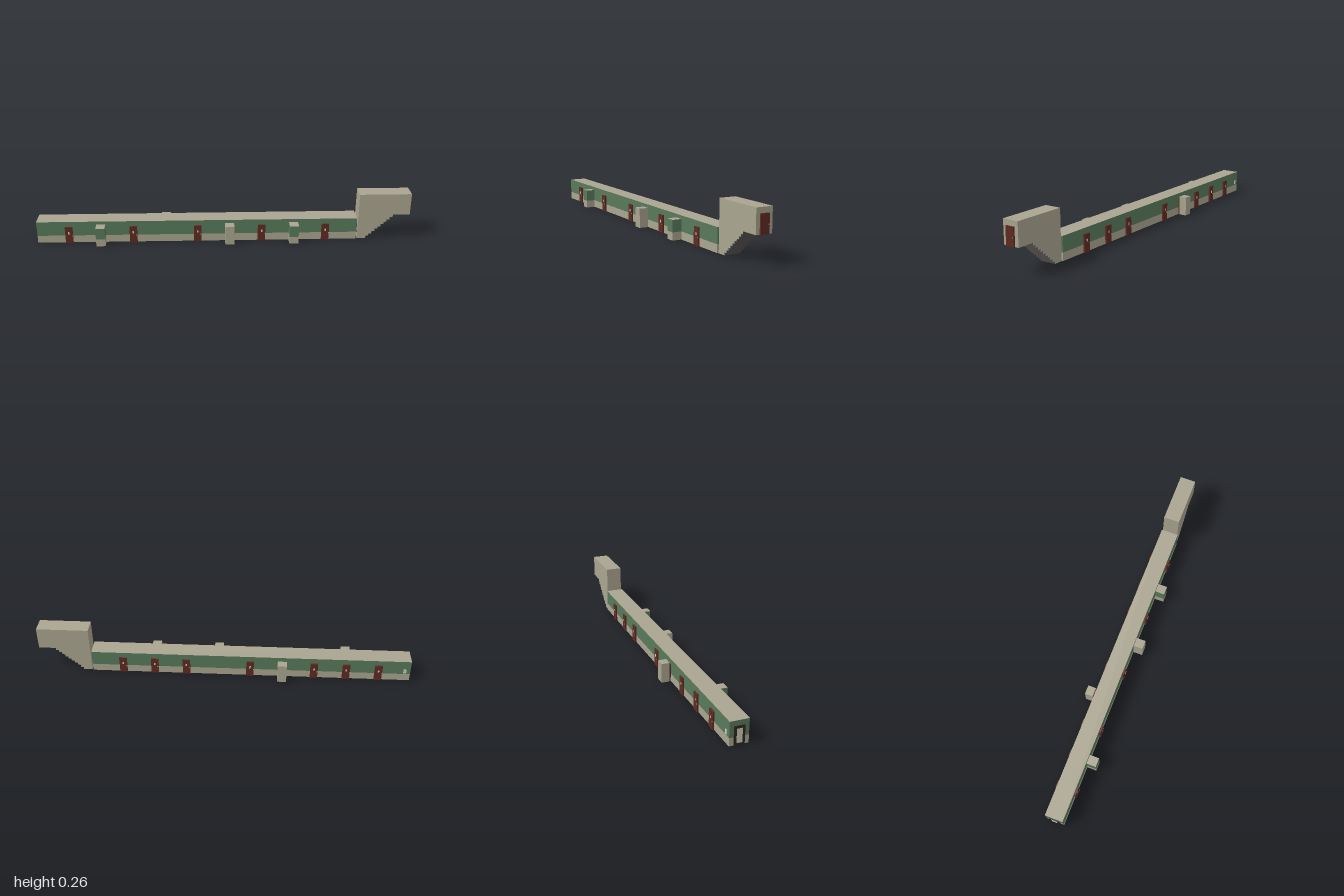
import * as THREE from 'three';

const mat = (name, color) => Object.assign(new THREE.MeshStandardMaterial({ color }), { name });

export function createModel() {
  const green = mat('wall green', 0x587a5c);
  const beige = mat('plaster beige', 0xaaa590);
  const brown = mat('door brown', 0x5f2a22);
  const gray = mat('stair gray', 0x4e4a49);
  const dark = mat('frame dark', 0x2b2523);
  const pale = mat('plate pale', 0xcfc9b6);

  const model = new THREE.Group();
  model.name = 'corridorWithStairs';

  // Box given by its lower and upper corners
  const box = (parent, name, material, x0, x1, y0, y1, z0, z1) => {
    const mesh = new THREE.Mesh(new THREE.BoxGeometry(x1 - x0, y1 - y0, z1 - z0), material);
    mesh.position.set((x0 + x1) / 2, (y0 + y1) / 2, (z0 + z1) / 2);
    mesh.name = name;
    parent.add(mesh);
    return mesh;
  };
  // Face order: +x, -x, +y, -y, +z, -z
  const sides = (side, top, bottom) => [side, side, top, bottom, side, side];

  const W = 0.0475, DADO = 0.041;

  // Two-tone block: beige lower band, green upper band, beige roof
  const twoTone = (name, x0, x1, h, z0, z1) => {
    const group = new THREE.Group();
    group.name = name;
    box(group, 'lowerWall', sides(beige, beige, green), x0, x1, 0, DADO, z0, z1);
    box(group, 'upperWall', sides(green, beige, green), x0, x1, DADO, h, z0, z1);
    model.add(group);
  };
  twoTone('corridor', -0.995, 0.709, 0.121, -W, W);

  // Door leaf facing +z with number plate and handle, then turned and placed
  const addDoor = (name, x, y, z, turn, width, depth, plate) => {
    const door = new THREE.Group();
    door.name = name;
    box(door, 'leaf', brown, -width / 2, width / 2, 0, 0.092, 0, depth);
    if (plate) box(door, 'numberPlate', pale, -0.004, 0.004, 0.052, 0.066, depth, depth + 0.0007);
    box(door, 'handle', pale, width * 0.38, width * 0.38 + 0.003, 0.041, 0.045, depth, depth + 0.002);
    door.position.set(x, y, z);
    door.rotation.y = turn;
    model.add(door);
  };

  // Nine bays along the corridor: doors, with annexes in a few bays
  const annexes = { 1: 'painted', 5: 'plain', 7: 'painted' };
  for (let i = 0; i < 9; i++) {
    const x = -0.826 + i * 0.1707;
    if (!annexes[i]) {
      if (i % 2 === 0) addDoor('frontDoor', x, 0, W, 0, 0.04, 0.008, true);
    } else if (annexes[i] === 'painted') {
      twoTone('paintedAnnex', x - 0.024, x + 0.024, 0.103, W, 0.098);
    } else {
      box(model, 'plainAnnex', sides(beige, beige, green), x - 0.024, x + 0.024, 0, 0.103, W, 0.098);
    }
    if (i !== 5) addDoor('backDoor', x, 0, -W, Math.PI, 0.04, 0.008, i !== 3);
    if (i === 3) box(model, 'backAnnex', sides(beige, beige, green), x - 0.024, x + 0.024, 0, 0.103, -0.098, -0.0555);
  }

  // Small wall plate near the far end of the back wall
  box(model, 'wallPlate', pale, -0.974, -0.958, 0.048, 0.07, -W - 0.003, -W);

  // End door: dark frame around a pale panel
  const endDoor = new THREE.Group();
  endDoor.name = 'endDoor';
  box(endDoor, 'frame', dark, -1, -0.995, 0, 0.095, -0.026, 0.026);
  box(endDoor, 'panel', pale, -1.0006, -1, 0.012, 0.083, -0.014, 0.014);
  model.add(endDoor);

  // Doorway joining corridor and stairwell
  box(model, 'connectingDoor', dark, 0.709, 0.716, 0, 0.092, -0.025, 0.025);

  // Stairwell: upper housing, and stepped lower part with gray soffit
  const X0 = 0.716, X1 = 0.99, SZ = 0.043, FLOOR = 0.137;
  const stairwell = new THREE.Group();
  stairwell.name = 'stairwell';
  box(stairwell, 'upperHousing', sides(beige, beige, gray), X0, X1, FLOOR, 0.256, -SZ, SZ);

  const steps = 10, run = (0.915 - 0.762) / steps, rise = FLOOR / steps;
  const profile = new THREE.Shape();
  profile.moveTo(X0, 0);
  for (let i = 0; i < steps; i++) {
    profile.lineTo(0.762 + i * run, i * rise);
    profile.lineTo(0.762 + i * run, (i + 1) * rise);
  }
  profile.lineTo(X0, FLOOR);
  const flight = new THREE.ExtrudeGeometry(profile, { depth: SZ * 2, bevelEnabled: false });
  flight.translate(0, 0, -SZ);
  const stairs = new THREE.Mesh(flight, [beige, gray]);
  stairs.name = 'stairFlight';
  stairwell.add(stairs);
  box(stairwell, 'rearWall', beige, X0 - 0.001, X0, 0, 0.256, -SZ, SZ);
  model.add(stairwell);

  // Door at the top of the stairs
  addDoor('upperDoor', X1, FLOOR, 0, Math.PI / 2, 0.046, 0.008, false);

  return model;
}
